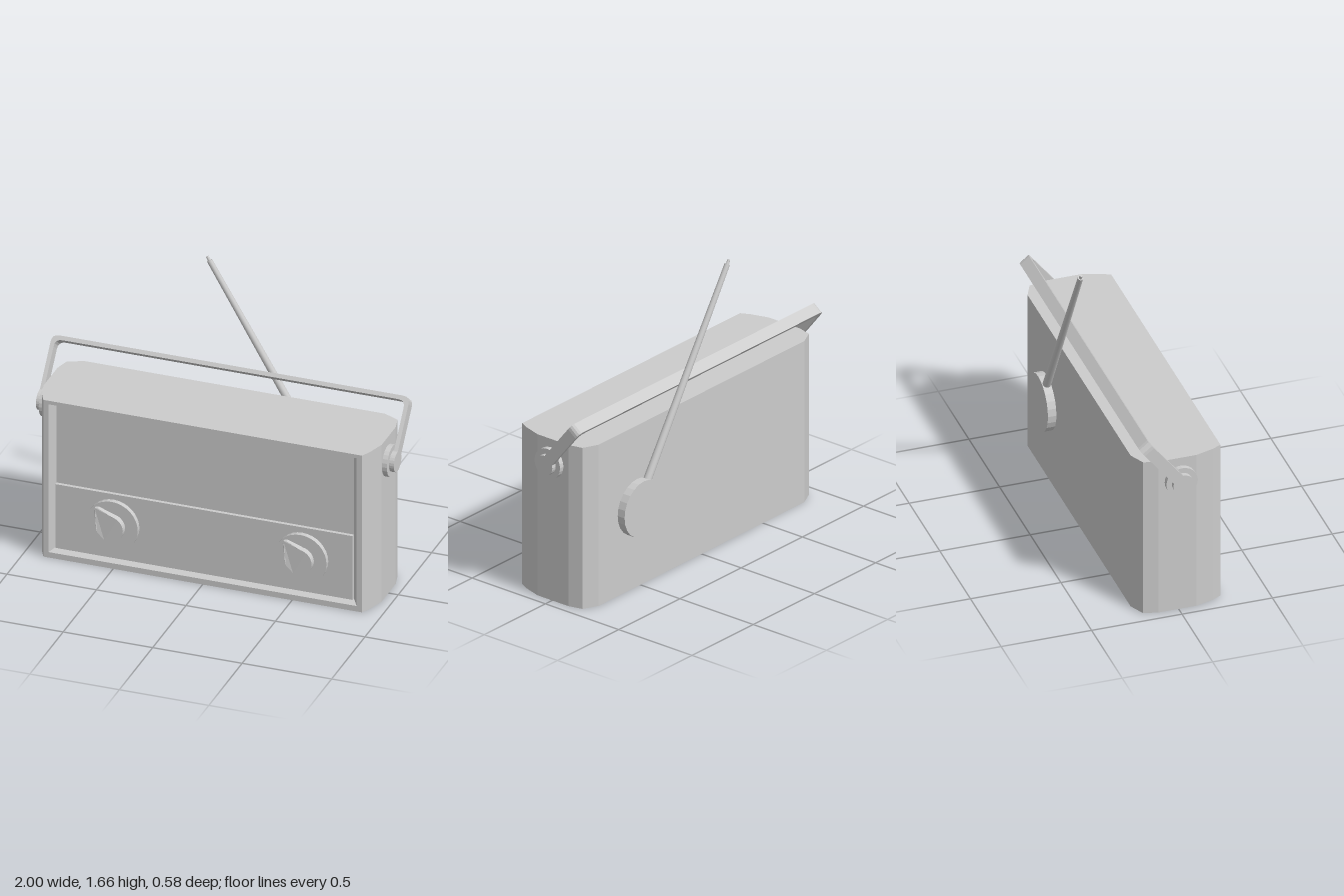
import * as THREE from 'three';

const material = new THREE.MeshStandardMaterial({ color: 0xcccccc, flatShading: true });
const smoothMaterial = new THREE.MeshStandardMaterial({ color: 0xcccccc });

function addMesh(parent, name, geometry, mat = material) {
  const mesh = new THREE.Mesh(geometry, mat);
  mesh.name = name;
  parent.add(mesh);
  return mesh;
}

// Flat-sided surface from a list of four-cornered faces
function quadGeometry(quads) {
  const points = quads.flatMap(([a, b, c, d]) => [a, b, c, a, c, d]);
  const geometry = new THREE.BufferGeometry();
  geometry.setAttribute('position', new THREE.Float32BufferAttribute(points.flat(), 3));
  geometry.computeVertexNormals();
  return geometry;
}

// Cylinder running between two points
function rod(parent, name, from, to, rFrom, rTo, sides) {
  const dir = to.clone().sub(from);
  const mesh = addMesh(parent, name, new THREE.CylinderGeometry(rTo, rFrom, dir.length(), sides), smoothMaterial);
  mesh.position.copy(from).addScaledVector(dir, 0.5);
  mesh.quaternion.setFromUnitVectors(new THREE.Vector3(0, 1, 0), dir.normalize());
  return mesh;
}

// Cabinet: chamfered footprint, with a sloped recess in the front
function buildCabinet() {
  const cabinet = new THREE.Group();
  cabinet.name = 'cabinet';
  const height = 0.93;
  const half = [[0.89, 0.25], [0.915, 0.2], [0.945, 0.1], [0.945, -0.11], [0.925, -0.19], [0.84, -0.23]];
  const outline = [...half, ...half.map(([x, z]) => [-x, z]).reverse()];

  const walls = [];
  for (let i = 0; i < outline.length - 1; i++) {
    const [ax, az] = outline[i], [bx, bz] = outline[i + 1];
    walls.push([[ax, 0, az], [bx, 0, bz], [bx, height, bz], [ax, height, az]]);
  }
  addMesh(cabinet, 'sideAndBackWalls', quadGeometry(walls));

  const capShape = (s) => new THREE.Shape(outline.map(([x, z]) => new THREE.Vector2(x, s * z)));
  addMesh(cabinet, 'topPanel', new THREE.ShapeGeometry(capShape(-1)).rotateX(-Math.PI / 2).translate(0, height, 0));
  addMesh(cabinet, 'bottomPanel', new THREE.ShapeGeometry(capShape(1)).rotateX(Math.PI / 2));

  const rect = (x, y0, y1, z) => [[-x, y0, z], [x, y0, z], [x, y1, z], [-x, y1, z]];
  const loops = [rect(0.89, 0, height, 0.25), rect(0.861, 0.032, 0.909, 0.25), rect(0.83, 0.053, 0.888, 0.21)];
  const front = [loops[2]];
  for (let k = 0; k < 2; k++) {
    for (let i = 0; i < 4; i++) {
      const j = (i + 1) % 4;
      front.push([loops[k][i], loops[k][j], loops[k + 1][j], loops[k + 1][i]]);
    }
  }
  addMesh(cabinet, 'frontFrame', quadGeometry(front));

  // Slightly raised control panel under the speaker area
  addMesh(cabinet, 'controlPanel', new THREE.BoxGeometry(1.66, 0.378, 0.03)).position.set(0, 0.242, 0.215);
  return cabinet;
}

// Round base with a teardrop pointer whose tip slopes down
function buildDial(x) {
  const dial = new THREE.Group();
  dial.name = 'dial';
  addMesh(dial, 'dialBase', new THREE.CylinderGeometry(0.145, 0.145, 0.03, 32).rotateX(Math.PI / 2)).position.z = 0.015;

  const r = 0.075, reach = 0.125, spread = 0.92;
  const shape = new THREE.Shape();
  shape.absarc(0, 0, r, spread, Math.PI * 2 - spread, false);
  shape.lineTo(reach, -0.014);
  shape.lineTo(reach + 0.01, 0);
  shape.lineTo(reach, 0.014);
  const knob = new THREE.ExtrudeGeometry(shape, { depth: 0.04, bevelEnabled: false, curveSegments: 12 });
  const p = knob.attributes.position;
  for (let i = 0; i < p.count; i++) {
    if (p.getZ(i) > 0.02 && p.getX(i) > 0.1) p.setZ(i, 0.025);
  }
  knob.computeVertexNormals();
  const pointer = addMesh(dial, 'dialPointer', knob);
  pointer.position.z = 0.025;
  pointer.rotation.z = 2.28;
  dial.position.set(x, 0.255, 0.228);
  return dial;
}

// Carrying handle: thin U-shaped strap leaning back over two pivots
function buildHandle() {
  const handle = new THREE.Group();
  handle.name = 'handle';
  const strap = new THREE.Shape();
  const outer = 1, inner = 0.978, top = 0.345, under = 0.322, c = 0.04;
  strap.moveTo(outer, 0);
  strap.lineTo(outer, top - c);
  strap.quadraticCurveTo(outer, top, outer - c, top);
  strap.lineTo(-outer + c, top);
  strap.quadraticCurveTo(-outer, top, -outer, top - c);
  strap.lineTo(-outer, 0);
  strap.lineTo(-inner, 0);
  strap.lineTo(-inner, under - c);
  strap.quadraticCurveTo(-inner, under, -inner + c, under);
  strap.lineTo(inner - c, under);
  strap.quadraticCurveTo(inner, under, inner, under - c);
  strap.lineTo(inner, 0);
  const width = 0.064;
  const geometry = new THREE.ExtrudeGeometry(strap, { depth: width, bevelEnabled: false, curveSegments: 4 });
  addMesh(handle, 'handleStrap', geometry.translate(0, 0, -width / 2)).rotation.x = -0.67;

  for (const side of [1, -1]) {
    const disc = (name, radius, from, to) => {
      const g = new THREE.CylinderGeometry(radius, radius, to - from, 24).rotateZ(Math.PI / 2);
      addMesh(handle, name, g).position.x = side * (from + to) / 2;
    };
    disc('handlePivotBase', 0.087, 0.935, 0.973);
    disc('handlePivotCap', 0.057, 0.97, 1);
  }
  handle.position.set(0, 0.795, 0.01);
  return handle;
}

// Telescopic aerial on a round mount at the back
function buildAerial() {
  const aerial = new THREE.Group();
  aerial.name = 'aerial';
  const mount = new THREE.CylinderGeometry(0.158, 0.158, 0.05, 24).rotateX(Math.PI / 2);
  addMesh(aerial, 'aerialMount', mount).position.set(0.527, 0.463, -0.252);
  const base = new THREE.Vector3(0.48, 0.58, -0.25);
  const end = new THREE.Vector3(-0.157, 1.632, -0.275);
  const tip = new THREE.Vector3(-0.17, 1.653, -0.2755);
  rod(aerial, 'aerialRod', base, end, 0.023, 0.015, 12);
  rod(aerial, 'aerialTip', end, tip, 0.009, 0.007, 10);
  return aerial;
}

export function createModel() {
  const radio = new THREE.Group();
  radio.name = 'portableRadio';
  radio.add(buildCabinet(), buildDial(-0.505), buildDial(0.55), buildHandle(), buildAerial());
  return radio;
}
